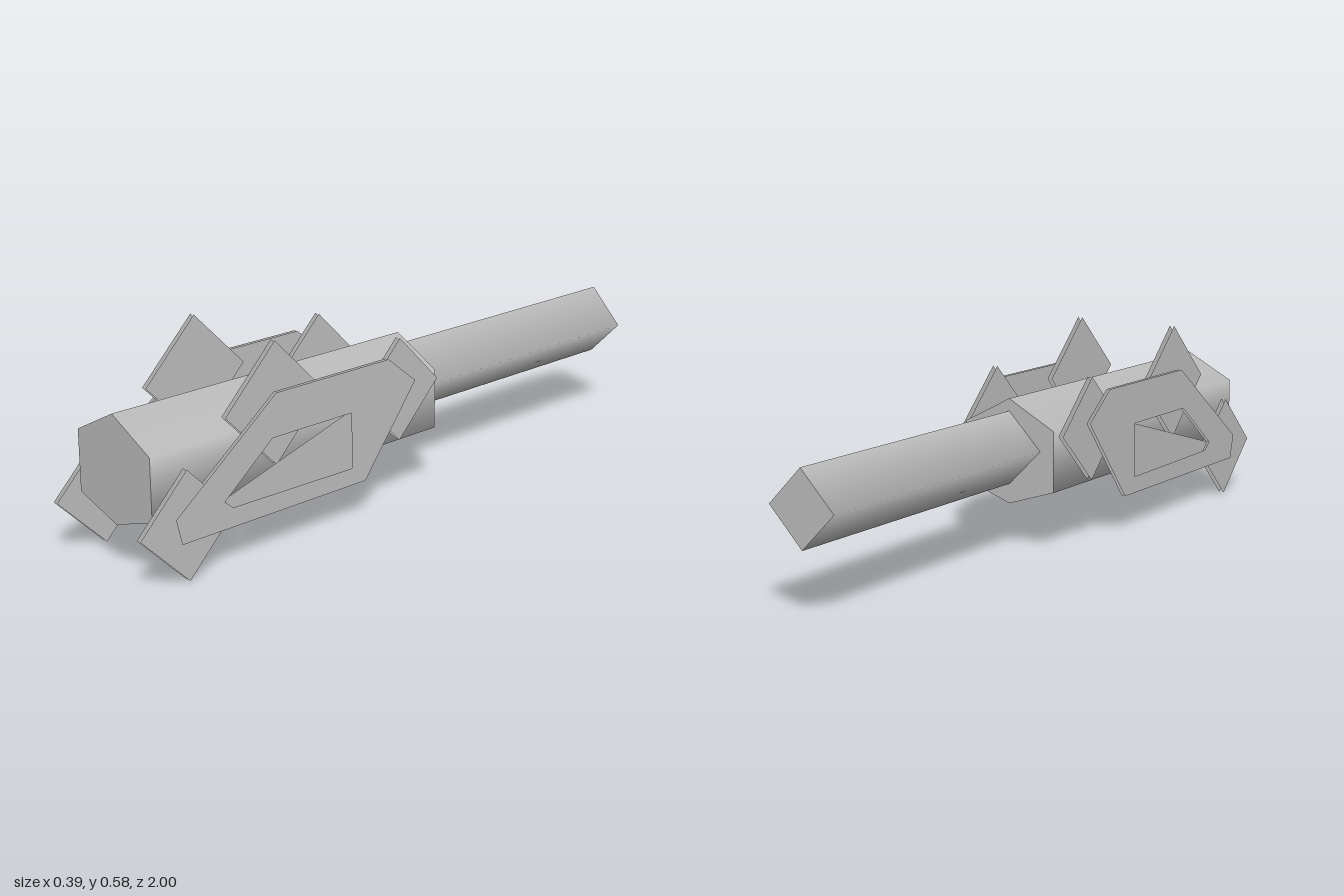
import * as THREE from 'three';

const steel = new THREE.MeshStandardMaterial({ color: 0xc0c0c0 });
steel.name = 'grey';
const sheetGrey = steel; // one colour for everything
sheetGrey.side = THREE.DoubleSide;

// Outline points are [z, y] pairs
const toPoints = (list) => list.map(([z, y]) => new THREE.Vector2(z, y));

const diamond = (z, y, r) => [[z + r, y], [z, y + r], [z - r, y], [z, y - r]];

// Flat sheet standing in the plane x = constant
function sheet(name, outline, x, hole) {
  const shape = new THREE.Shape(toPoints(outline));
  if (hole) shape.holes.push(new THREE.Path(toPoints(hole)));
  const geometry = new THREE.ShapeGeometry(shape).rotateY(-Math.PI / 2);
  const mesh = new THREE.Mesh(geometry, sheetGrey);
  mesh.name = name;
  mesh.position.x = x;
  return mesh;
}

// Smooth-shaded prism lying along z
function prism(name, radius, sides, zBack, zFront, y) {
  const geometry = new THREE.CylinderGeometry(radius, radius, zFront - zBack, sides);
  geometry.rotateX(Math.PI / 2);
  const mesh = new THREE.Mesh(geometry, steel);
  mesh.name = name;
  mesh.position.set(0, y, (zFront + zBack) / 2);
  return mesh;
}

export function createModel() {
  const model = new THREE.Group();
  model.name = 'model';

  // Six-sided body with a raised ridge and a shallower keel
  const body = prism('body', 0.177, 6, -0.1, 0.935, 0.2675);
  const p = body.geometry.attributes.position;
  for (let i = 0; i < p.count; i++) {
    if (p.getY(i) > 0.1) p.setY(i, 0.1685);
    if (p.getY(i) < -0.1) p.setY(i, -0.1395);
  }
  model.add(body);

  // Four-sided shaft behind the body
  model.add(prism('shaft', 0.107, 4, -1, -0.1, 0.293));

  const plate = [[0.545, 0.448], [0.13, 0.448], [0.024, 0.363], [0.22, 0.112], [0.872, 0.112], [0.89, 0.185]];
  const window = [[0.728, 0.19], [0.56, 0.325], [0.272, 0.325], [0.272, 0.162], [0.7, 0.167]];
  const slot = [[0.728, 0.19], [0.56, 0.325], [0.272, 0.325]];

  // Layered side plates, mirrored left and right
  for (const side of [1, -1]) {
    const panel = new THREE.Group();
    panel.name = side > 0 ? 'leftPanel' : 'rightPanel';
    panel.add(
      sheet('outerPlate', plate, side * 0.195, window),
      sheet('innerPlate', plate, side * 0.184, slot),
    );
    for (const x of [0.16, 0.175]) {
      panel.add(
        sheet('upperFin', diamond(0.53, 0.41, 0.174), side * x),
        sheet('rearFin', diamond(0.066, 0.34, 0.152), side * x),
        sheet('frontFin', diamond(0.845, 0.155, 0.155), side * (x + 0.013)),
      );
    }
    model.add(panel);
  }

  return model;
}
